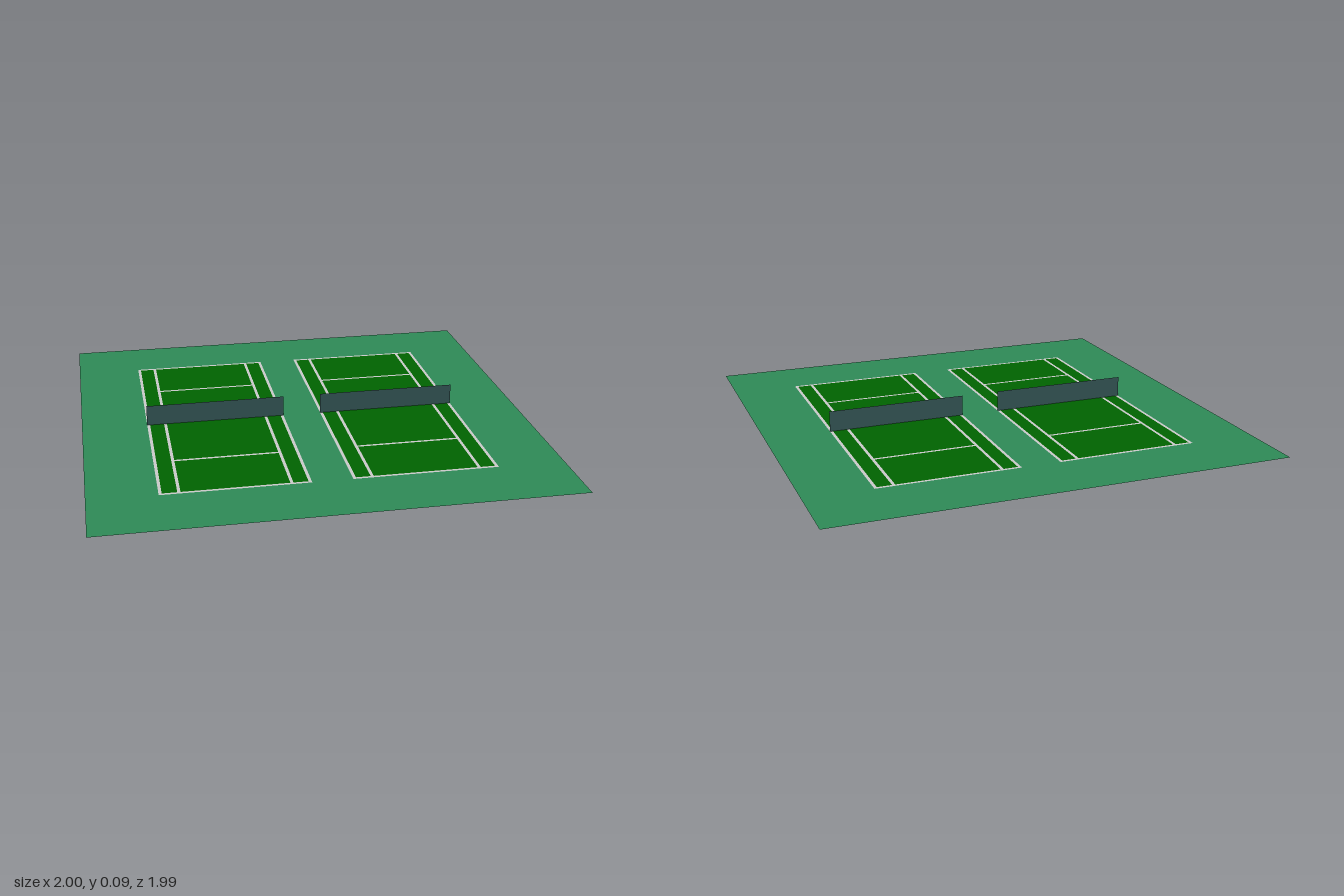
import * as THREE from 'three';

const material = (color) => new THREE.MeshStandardMaterial({ color, side: THREE.DoubleSide });

// Rectangle given as [x0, x1, z0, z1], traced as a Shape or a hole Path
function rect([x0, x1, z0, z1], Type = THREE.Shape) {
  const p = new Type();
  p.moveTo(x0, -z0).lineTo(x0, -z1).lineTo(x1, -z1).lineTo(x1, -z0).closePath();
  return p;
}

// Flat surface lying at y = 0, with rectangular openings
function flat(name, outlines, holes, mat) {
  const shapes = outlines.map((o) => rect(o));
  holes.forEach((h) => shapes[0].holes.push(rect(h, THREE.Path)));
  const geometry = new THREE.ShapeGeometry(shapes).rotateX(-Math.PI / 2);
  const mesh = new THREE.Mesh(geometry, mat);
  mesh.name = name;
  return mesh;
}

export function createModel() {
  const model = new THREE.Group();
  model.name = 'tennisCourts';
  const surround = material(0x2e8b57);
  const turf = material(0x006400);
  const paint = material(0xcccccc);
  const netting = material(0x2f4f4f);

  const W = 0.312, L = 0.70;      // court half width and half length
  const t = 0.013;                // line width
  const single = 0.23;            // singles sideline
  const service = 0.392;          // service line
  const centres = [-0.398, 0.398];

  // Green areas enclosed by the painted lines
  const inX = single - t / 2, outX = single + t / 2, endX = W - t, endZ = L - t;
  const panels = [
    [-endX, -outX, -endZ, endZ],
    [outX, endX, -endZ, endZ],
    [-inX, inX, -endZ, -service - t / 2],
    [-inX, inX, -service + t / 2, service - t / 2],
    [-inX, inX, service + t / 2, endZ],
  ];

  // Surround, cut out where the courts sit
  const cutouts = centres.map((c) => [c - W, c + W, -L, L]);
  model.add(flat('surround', [[-1, 1, -0.995, 0.995]], cutouts, surround));

  centres.forEach((c) => {
    const court = new THREE.Group();
    court.name = c > 0 ? 'leftCourt' : 'rightCourt';
    court.position.x = c;
    court.add(flat('courtLines', [[-W, W, -L, L]], panels, paint));
    court.add(flat('playingSurface', panels, [], turf));

    // Net across the middle
    const net = new THREE.Mesh(new THREE.PlaneGeometry(2 * W, 0.093), netting);
    net.name = 'net';
    net.position.y = 0.0465;
    court.add(net);
    model.add(court);
  });
  return model;
}
